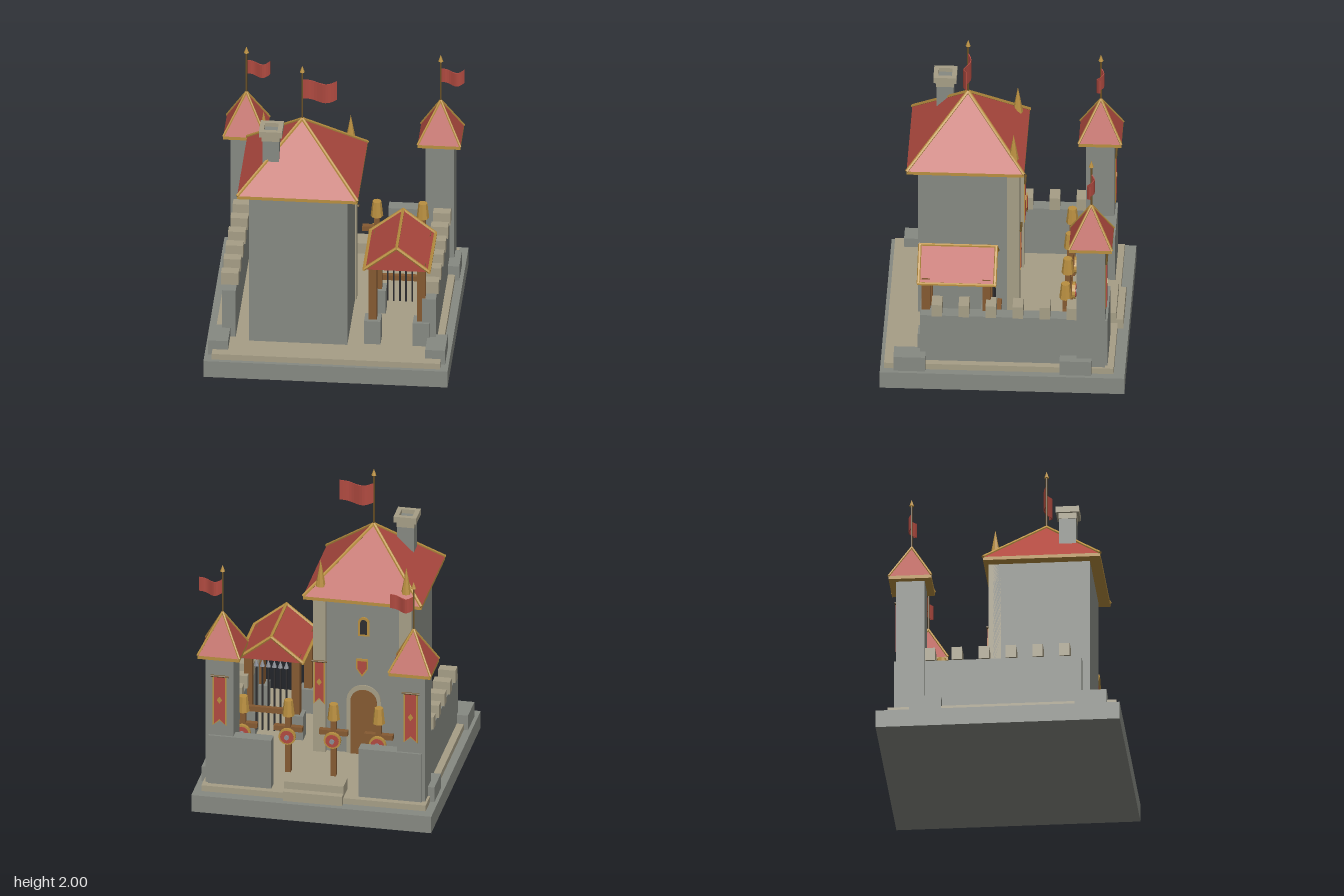
import * as THREE from 'three';

const mat = (name, color) => {
  const m = new THREE.MeshStandardMaterial({ color });
  m.name = name;
  return m;
};
const stone = mat('grey stone', 0x868982);
const sand = mat('sandstone', 0xa69e86);
const red = mat('red tile and cloth', 0xb04a40);
const gold = mat('gold trim', 0xb98f40);
const wood = mat('brown wood', 0x855a32);
const iron = mat('dark iron', 0x2e2d2f);
const steel = mat('steel', 0x8a8d94);
const bronze = mat('dark bronze', 0x6b5227);

export function createModel() {
  const model = new THREE.Group();
  model.name = 'castle';

  const add = (name, geo, m, x = 0, y = 0, z = 0, parent = model) => {
    const mesh = new THREE.Mesh(geo, m);
    mesh.name = name;
    mesh.position.set(x, y, z);
    parent.add(mesh);
    return mesh;
  };
  const group = (name, x = 0, y = 0, z = 0) => {
    const g = new THREE.Group();
    g.name = name;
    g.position.set(x, y, z);
    model.add(g);
    return g;
  };
  // Box given by its extents on each axis
  const box = (name, m, x0, x1, y0, y1, z0, z1, parent) =>
    add(name, new THREE.BoxGeometry(x1 - x0, y1 - y0, z1 - z0), m, (x0 + x1) / 2, (y0 + y1) / 2, (z0 + z1) / 2, parent);
  const flat = (geo) => {
    const g = geo.index ? geo.toNonIndexed() : geo;
    g.computeVertexNormals();
    return g;
  };
  const cyl = (rTop, rBottom, h, n = 8) => flat(new THREE.CylinderGeometry(rTop, rBottom, h, n));
  // Thin rod between two points
  const rod = (name, m, a, b, r, parent) => {
    const p = new THREE.Vector3(...a), q = new THREE.Vector3(...b), d = q.clone().sub(p);
    const mesh = add(name, cyl(r, r, d.length(), 6), m, 0, 0, 0, parent);
    mesh.position.copy(p).add(q).multiplyScalar(0.5);
    mesh.quaternion.setFromUnitVectors(new THREE.Vector3(0, 1, 0), d.normalize());
    return mesh;
  };
  const plate = (points, depth) => new THREE.ExtrudeGeometry(
    new THREE.Shape(points.map(([x, y]) => new THREE.Vector2(x, y))), { depth, bevelEnabled: false });

  // Four-sided roof with gold eaves and hips
  function hipRoof(name, x, z, hx, hz, y0, y1, r) {
    const g = group(name, x, 0, z);
    const geo = new THREE.CylinderGeometry(0, Math.SQRT2, y1 - y0, 4).rotateY(Math.PI / 4).scale(hx, 1, hz);
    add('roofTiles', flat(geo), red, 0, (y0 + y1) / 2, 0, g);
    box('eaves', gold, -hx, hx, y0 - 0.022, y0, -hz, hz, g);
    for (const sx of [-1, 1]) for (const sz of [-1, 1])
      rod('hipTrim', gold, [sx * hx, y0, sz * hz], [0, y1, 0], r, g);
  }

  // Pole with a waving flag
  function flagPole(x, z, y0, y1, w, f0, f1) {
    const g = group('flagPole', x, 0, z);
    rod('pole', bronze, [0, y0, 0], [0, y1 - 0.04, 0], 0.006, g);
    add('poleTip', cyl(0, 0.016, 0.045), gold, 0, y1 - 0.0225, 0, g);
    const n = 12, pts = [];
    const wave = (t) => 0.02 * Math.sin(t * Math.PI * 2);
    for (let i = 0; i <= n; i++) pts.push([w * i / n, wave(i / n) + 0.003]);
    for (let i = n; i >= 0; i--) pts.push([w * i / n, wave(i / n) - 0.003]);
    const geo = plate(pts, f1 - f0).rotateX(-Math.PI / 2);
    const p = geo.attributes.position;
    for (let i = 0; i < p.count; i++)
      p.setY(i, p.getY(i) - 0.022 * Math.sin(Math.PI * p.getX(i) / w));
    add('flag', flat(geo), red, 0, f0, 0, g);
  }

  // Wall banner facing the back
  function banner(x, z, y0, y1, w) {
    const g = group('banner', x, 0, z);
    const shape = (h, i) => [[-h, y0 + i], [0, y0 + 0.035 + i], [h, y0 + i], [h, y1], [-h, y1]];
    add('bannerBorder', plate(shape(w / 2, 0), 0.004), gold, 0, 0, -0.004, g);
    add('bannerCloth', plate(shape(w / 2 - 0.01, 0.012), 0.004), red, 0, 0, -0.008, g);
    const m = (y0 + y1) / 2 + 0.01;
    add('bannerDiamond', plate([[-0.017, m], [0, m - 0.025], [0.017, m], [0, m + 0.025]], 0.003), gold, 0, 0, -0.011, g);
    rod('bannerRod', bronze, [-w / 2 - 0.012, y1 + 0.005, -0.006], [w / 2 + 0.012, y1 + 0.005, -0.006], 0.007, g);
  }

  // Ground
  box('base', stone, -0.77, 0.77, 0, 0.115, -0.77, 0.77);
  box('courtyard', sand, -0.72, 0.72, 0.115, 0.155, -0.7, 0.745);
  box('lowerStep', sand, -0.19, 0.19, 0.115, 0.18, -0.735, -0.57);
  box('upperStep', sand, -0.19, 0.19, 0.18, 0.23, -0.69, -0.57);

  // Keep
  box('keep', stone, -0.5, 0.12, 0.155, 1.225, -0.05, 0.56);
  hipRoof('keepRoof', -0.19, 0.26, 0.38, 0.37, 1.247, 1.615, 0.011);
  flagPole(-0.19, 0.26, 1.6, 2, 0.22, 1.765, 1.9);
  for (const x of [-0.46, 0.09]) {
    box('cornerPillar', sand, x - 0.04, x + 0.04, 0.155, 1.225, -0.08, 0);
    add('roofSpike', cyl(0, 0.033, 0.18), gold, x, 1.39, -0.04);
    banner(x, -0.081, 0.49, 0.785, 0.075);
  }

  // Arched back window and door, and the shield between them
  const arch = (w, h) => {
    const s = new THREE.Shape();
    s.moveTo(-w, 0).lineTo(w, 0).lineTo(w, h - w);
    s.absarc(0, h - w, w, 0, Math.PI);
    s.lineTo(-w, 0);
    return new THREE.ExtrudeGeometry(s, { depth: 0.009, bevelEnabled: false, curveSegments: 8 });
  };
  add('windowFrame', arch(0.036, 0.13), gold, -0.19, 0.98, -0.059);
  add('windowOpening', arch(0.022, 0.1), iron, -0.19, 0.994, -0.064);
  add('doorFrame', arch(0.11, 0.48), sand, -0.19, 0.155, -0.059);
  add('doorLeaf', arch(0.085, 0.45), wood, -0.19, 0.155, -0.064);
  const crest = (s) => plate([[-0.037, 0.06], [-0.037, -0.01], [0, -0.065], [0.037, -0.01], [0.037, 0.06]].map(([x, y]) => [x * s, y * s]), 0.006);
  add('wallShieldRim', crest(1), gold, -0.19, 0.785, -0.112);
  add('wallShield', crest(0.75), red, -0.19, 0.785, -0.115);

  // Chimney with an open cap
  const chimney = group('chimney', -0.372, 0, 0.412);
  box('stack', stone, -0.053, 0.053, 1.35, 1.61, -0.053, 0.053, chimney);
  box('band', sand, -0.057, 0.057, 1.56, 1.597, -0.057, 0.057, chimney);
  for (const s of [-1, 1]) {
    box('capSide', sand, s * 0.058 - 0.015, s * 0.058 + 0.015, 1.597, 1.637, -0.073, 0.073, chimney);
    box('capEnd', sand, -0.043, 0.043, 1.597, 1.637, s * 0.058 - 0.015, s * 0.058 + 0.015, chimney);
  }

  // Towers, walls and corner blocks, mirrored
  for (const s of [-1, 1]) {
    const mirrored = (name, m, x0, x1, ...rest) => box(name, m, Math.min(s * x0, s * x1), Math.max(s * x0, s * x1), ...rest);
    mirrored('tower', stone, 0.525, 0.705, 0.155, 1.035, -0.645, -0.465);
    hipRoof('towerRoof', s * 0.613, -0.555, 0.135, 0.135, 1.055, 1.31, 0.008);
    flagPole(s * 0.613, -0.555, 1.3, 1.64, 0.15, 1.445, 1.54);
    banner(s * 0.613, -0.646, 0.56, 0.9, 0.09);
    mirrored('sideWall', stone, 0.588, 0.675, 0.155, 0.49, -0.47, 0.52);
    for (let i = 0; i < 6; i++) {
      const z = 0.415 - i * 0.17;
      mirrored('merlon', sand, 0.577, 0.687, 0.49, 0.575, z - 0.033, z + 0.033);
    }
    mirrored('backWall', stone, 0.28, 0.685, 0.155, 0.49, -0.66, -0.58);
    mirrored('frontCornerBlock', stone, 0.622, 0.747, 0.115, 0.217, 0.485, 0.685);
    mirrored('backCornerBlock', stone, 0.622, 0.747, 0.115, 0.217, -0.56, -0.36);
  }

  // Gatehouse canopy
  const gate = group('gatehouse');
  for (const x of [0.275, 0.582]) for (const z of [0.487, 0.105]) {
    box('postFooting', stone, x - 0.052, x + 0.052, 0.155, 0.32, z - 0.05, z + 0.05, gate);
    box('post', wood, x - 0.026, x + 0.026, 0.32, 0.72, z - 0.026, z + 0.026, gate);
  }
  add('gateRoof', plate([[-0.205, 0.695], [0.205, 0.695], [0, 0.86]], 0.48), red, 0.428, 0, 0.052, gate);
  rod('ridgeTrim', gold, [0.428, 0.86, 0.045], [0.428, 0.86, 0.54], 0.01, gate);
  for (const s of [-1, 1]) {
    const x = 0.428 + s * 0.205;
    rod('eaveTrim', gold, [x, 0.698, 0.045], [x, 0.698, 0.54], 0.011, gate);
    for (const z of [0.052, 0.533]) rod('gableTrim', gold, [x, 0.698, z], [0.428, 0.86, z], 0.011, gate);
  }
  box('crossBeam', wood, 0.28, 0.58, 0.34, 0.375, 0.025, 0.053, gate);
  for (let i = 0; i < 6; i++) {
    const x = 0.332 + i * 0.0385;
    rod('gateBar', iron, [x, 0.2, 0.065], [x, 0.66, 0.065], 0.006, gate);
    add('barTip', cyl(0, 0.017, 0.05, 6), steel, x, 0.67, 0.065, gate);
  }

  // Practice dummies with helmet and round shield
  for (const x of [-0.355, -0.065, 0.225, 0.515]) {
    const d = group('practiceDummy', x, 0, -0.388);
    box('dummyPost', wood, -0.018, 0.018, 0.155, 0.56, -0.018, 0.018, d);
    box('dummyArms', wood, -0.092, 0.092, 0.44, 0.473, -0.018, 0.018, d);
    add('helmet', cyl(0.028, 0.04, 0.105), gold, 0, 0.6, 0, d);
    const disc = (name, m, r, h, z, n) => {
      add(name, cyl(r, r, h, n).rotateX(Math.PI / 2), m, 0, 0.415, z, d);
    };
    disc('shieldRim', gold, 0.055, 0.02, -0.038, 16);
    disc('shieldFace', red, 0.043, 0.006, -0.05, 16);
    disc('shieldBoss', steel, 0.016, 0.016, -0.058, 8);
  }
  return model;
}
